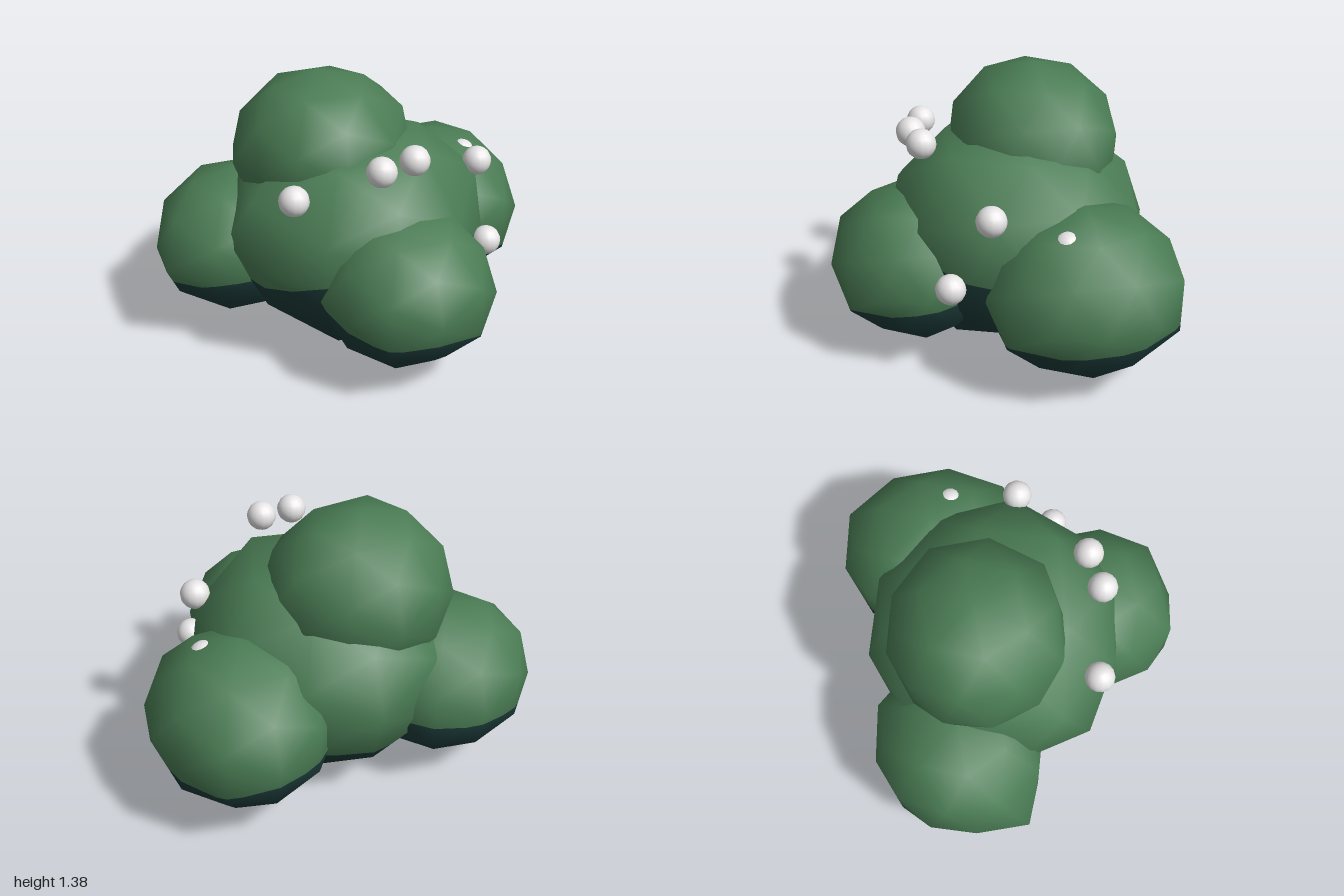
import * as THREE from 'three';
import { mergeVertices } from 'three/addons/utils/BufferGeometryUtils.js';

const mat = (name, color) => new THREE.MeshStandardMaterial({ name, color });

// Coarse ball with smooth normals, swelling by k around each bump direction.
function lump([cx, cy, cz], [rx, ry, rz], bumps) {
  let g = new THREE.IcosahedronGeometry(1, 1);
  g.deleteAttribute('uv');
  g.deleteAttribute('normal');
  g = mergeVertices(g, 1e-3);
  const p = g.attributes.position;
  const v = new THREE.Vector3();
  const d = new THREE.Vector3();
  for (let i = 0; i < p.count; i++) {
    v.fromBufferAttribute(p, i).normalize();
    let s = 1;
    for (const [x, y, z, k] of bumps) {
      s += k * Math.max(0, d.set(x, y, z).normalize().dot(v)) ** 12;
    }
    p.setXYZ(i, cx + v.x * rx * s, cy + v.y * ry * s, cz + v.z * rz * s);
  }
  g.computeVertexNormals();
  return g.toNonIndexed();
}

// Part of a lump on one side of the plane y = a + b*x + c*z (sign 1 above, -1 below).
function clip(g, [a, b, c], sign) {
  const P = g.attributes.position;
  const N = g.attributes.normal;
  const pos = [];
  const nor = [];
  const height = (q) => sign * (q[1] - a - b * q[0] - c * q[2]);
  const corner = (i) => [P.getX(i), P.getY(i), P.getZ(i), N.getX(i), N.getY(i), N.getZ(i)];
  for (let t = 0; t < P.count; t += 3) {
    const tri = [corner(t), corner(t + 1), corner(t + 2)];
    const poly = [];
    tri.forEach((q, i) => {
      const r = tri[(i + 1) % 3];
      const h = height(q);
      const k = height(r);
      if (h >= 0) poly.push(q);
      if ((h >= 0) !== (k >= 0)) poly.push(q.map((e, j) => e + (r[j] - e) * h / (h - k)));
    });
    for (let i = 1; i + 1 < poly.length; i++) {
      for (const q of [poly[0], poly[i], poly[i + 1]]) {
        pos.push(q[0], q[1], q[2]);
        nor.push(q[3], q[4], q[5]);
      }
    }
  }
  const out = new THREE.BufferGeometry();
  out.setAttribute('position', new THREE.Float32BufferAttribute(pos, 3));
  out.setAttribute('normal', new THREE.Float32BufferAttribute(nor, 3));
  out.normalizeNormals();
  return out;
}

export function createModel() {
  const group = new THREE.Group();
  group.name = 'bush';
  const leaf = mat('leafGreen', 0x4a7c54);
  const shade = mat('deepGreen', 0x1c3b39);
  const white = mat('berryWhite', 0xe6e4e4);

  // Foliage lumps: centre, radii, colour-split plane, bumps
  const lumps = [
    { name: 'coreFoliage', at: [0, 0.57, -0.12], r: [0.67, 0.56, 0.66], cut: [0.47, 0.1, 0.22],
      bumps: [[0.3, 0.85, 0.5, 0.1], [0.85, 0.5, 0.1, 0.09], [-0.85, 0.3, 0.35, 0.16],
        [0, -0.8, 0.55, 0.14], [0.1, 0.4, 0.9, 0.07], [0, 1, -0.3, -0.06]] },
    { name: 'topFoliage', at: [-0.14, 0.95, -0.23], r: [0.46, 0.435, 0.44], cut: [0.62, 0, 0],
      bumps: [[0.7, 0.35, 0.6, 0.13], [-0.3, 0.5, 0.75, 0.1], [0.85, 0.3, -0.4, 0.09]] },
    { name: 'frontFoliage', at: [0.07, 0.45, 0.4], r: [0.44, 0.405, 0.425], cut: [0.45, -0.06, -0.14],
      bumps: [[0.5, 0, 0.81, 0.14], [-0.5, 0, 0.81, 0.17]] },
    { name: 'leftFoliage', at: [0.54, 0.48, -0.345], r: [0.46, 0.43, 0.485], cut: [0.4, -0.06, -0.03],
      bumps: [[0.5, 0, 0.81, 0.14], [0.5, 0, -0.81, 0.1]] },
    { name: 'rightFoliage', at: [-0.53, 0.455, -0.4], r: [0.465, 0.4, 0.43], cut: [0.45, 0.1, 0],
      bumps: [[-0.83, 0, 0.55, 0.18], [-1, 0, -0.25, -0.05], [0.5, 0, -0.81, 0.13]] },
  ];
  for (const { name, at, r, cut, bumps } of lumps) {
    const g = lump(at, r, bumps);
    const part = new THREE.Group();
    part.name = name;
    [['leaves', 1, leaf], ['underside', -1, shade]].forEach(([label, sign, material]) => {
      const mesh = new THREE.Mesh(clip(g, cut, sign), material);
      mesh.name = label;
      part.add(mesh);
    });
    group.add(part);
  }

  // Berries
  const berryGeometry = new THREE.SphereGeometry(0.074, 14, 10);
  const berries = [
    [-0.46, 0.97, 0.31], [-0.06, 1.09, 0.405], [0.12, 1.105, 0.375],
    [0.585, 0.91, 0.115], [0.56, 0.55, 0.305], [0.67, 0.79, -0.225],
  ];
  for (const at of berries) {
    const berry = new THREE.Mesh(berryGeometry, white);
    berry.name = 'berry';
    berry.position.set(...at);
    group.add(berry);
  }
  return group;
}
